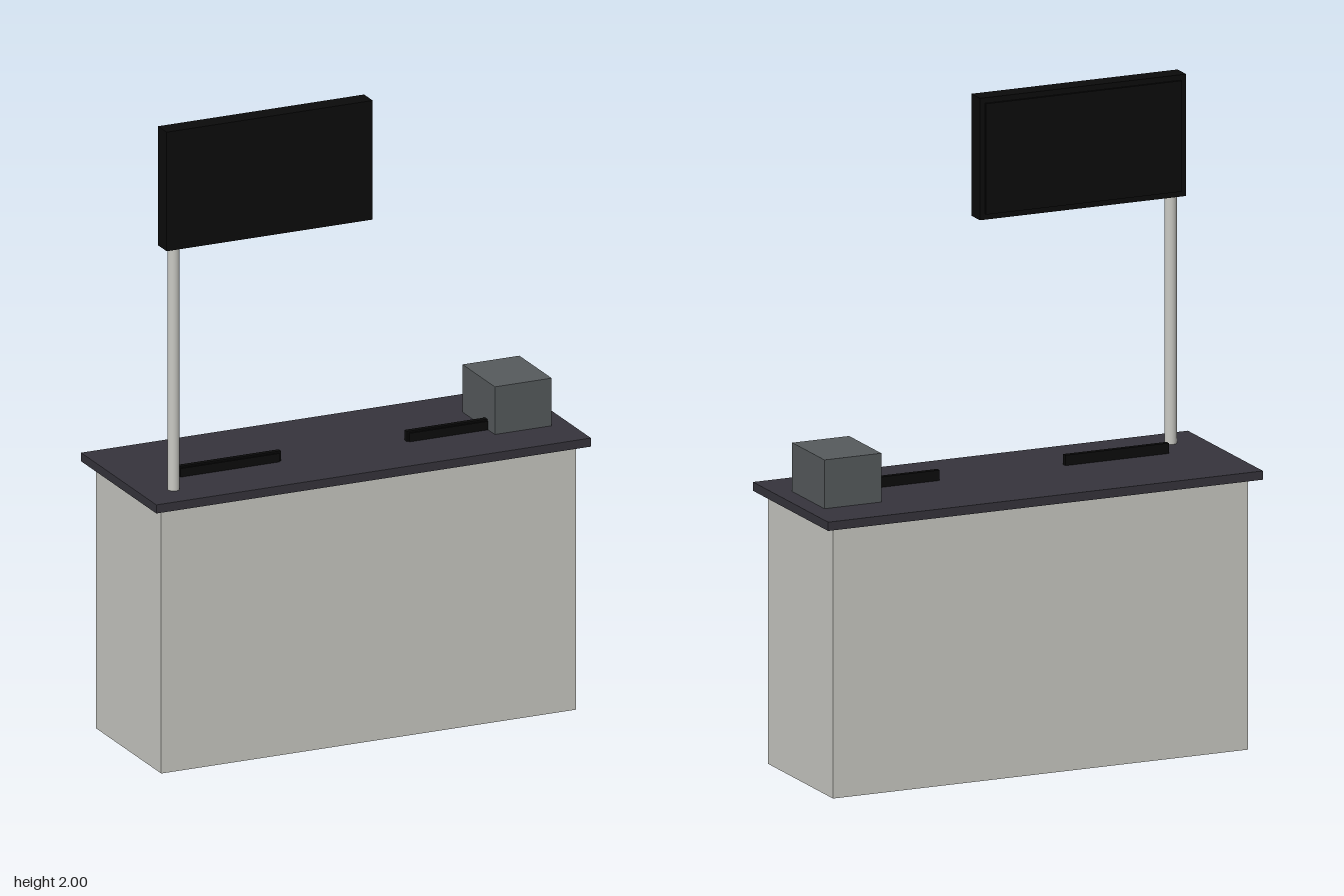
import * as THREE from 'three';

export function createModel() {
  const model = new THREE.Group();
  model.name = 'checkoutCounter';

  const mat = (name, color) => {
    const m = new THREE.MeshStandardMaterial({ color });
    m.name = name;
    return m;
  };
  const paleGrey = mat('paleGrey', 0xcacac4);
  const darkSlate = mat('darkSlate', 0x36343c);
  const steelGrey = mat('steelGrey', 0x565b5d);
  const black = mat('black', 0x0b0b0b);

  // Box given by its minimum and maximum on each axis
  const box = (name, material, [x0, x1], [y0, y1], [z0, z1]) => {
    const mesh = new THREE.Mesh(new THREE.BoxGeometry(x1 - x0, y1 - y0, z1 - z0), material);
    mesh.position.set((x0 + x1) / 2, (y0 + y1) / 2, (z0 + z1) / 2);
    mesh.name = name;
    model.add(mesh);
    return mesh;
  };

  // Cabinet and overhanging top
  box('cabinet', paleGrey, [-0.682, 0.682], [0, 0.835], [-0.227, 0.227]);
  box('counterTop', darkSlate, [-0.715, 0.715], [0.835, 0.862], [-0.263, 0.263]);

  // Low bars on the counter, each with a slightly inset front strip
  for (const [side, x] of [['right', -0.379], ['left', 0.375]]) {
    box(side + 'Bar', black, [x - 0.17, x + 0.17], [0.862, 0.894], [0.043, 0.059]);
    box(side + 'BarFront', black, [x - 0.163, x + 0.163], [0.862, 0.889], [0.059, 0.065]);
  }

  // Small machine at the left end
  box('counterMachine', steelGrey, [0.47, 0.657], [0.862, 1.012], [-0.114, 0.112]);

  // Pole carrying the screen
  const pole = new THREE.Mesh(new THREE.CylinderGeometry(0.0185, 0.0185, 0.77, 20), paleGrey);
  pole.position.set(-0.607, 1.245, 0.154);
  pole.name = 'signPole';
  model.add(pole);

  // Screen with an inset back panel
  box('screen', black, [-0.643, 0.035], [1.625, 2], [0.122, 0.182]);
  box('screenBack', black, [-0.626, 0.018], [1.642, 1.983], [0.115, 0.122]);

  return model;
}
